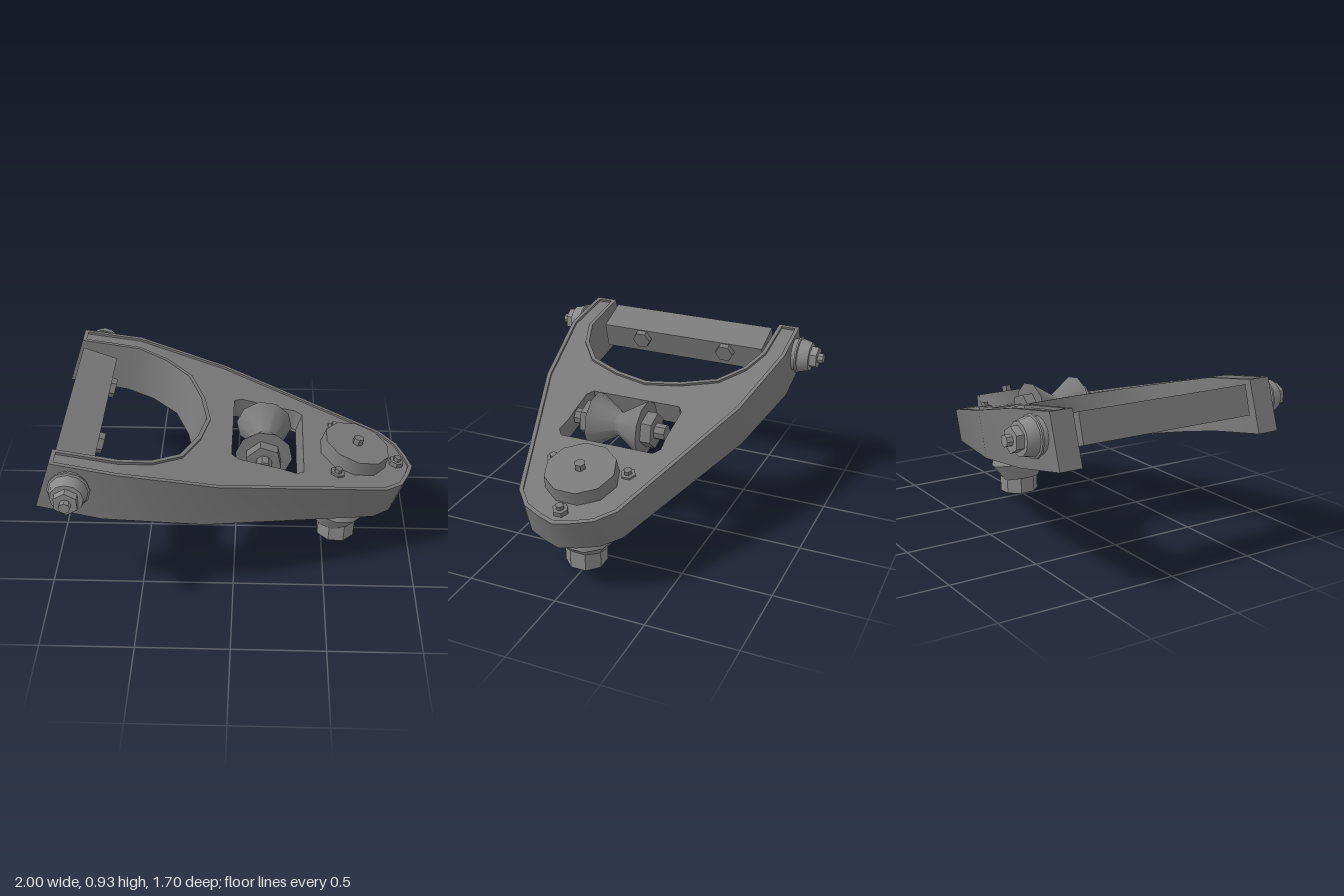
import * as THREE from 'three';
import { toCreasedNormals } from 'three/addons/utils/BufferGeometryUtils.js';

const paint = color => new THREE.MeshStandardMaterial({ color, side: THREE.DoubleSide });
const DARK = paint(0x7a7a7a);
const STEEL = paint(0x8a8a8a);
const V = (x, y) => new THREE.Vector2(x, y);

function add(parent, name, geo, mat, pos = [0, 0, 0], rot = [0, 0, 0]) {
  const m = new THREE.Mesh(toCreasedNormals(geo, 0.74), mat);
  m.name = name;
  m.position.set(...pos);
  m.rotation.set(...rot);
  parent.add(m);
}
function group(parent, name, pos, rot) {
  const g = new THREE.Group();
  g.name = name;
  g.position.set(...pos);
  g.rotation.set(...rot);
  parent.add(g);
  return g;
}
const cyl = (rTop, rBottom, h, sides) => new THREE.CylinderGeometry(rTop, rBottom, h, sides);
const lathe = (pts, sides) => new THREE.LatheGeometry(pts.map(p => V(...p)), sides);

// Height of the arm's upper edge along its length, with a bend near the forks
const BEND = -0.58;
const topY = x => 0.88 - (x - BEND) * (x < BEND ? 0.167 : 0.266);

// Sloping arm space: plan x, with t from 0 (lower edge) to 1 (upper edge)
function armPoint(x, t) {
  const xb = x - 0.09 + 0.03 * (x + 0.91) / 1.91;
  const yb = 0.665 - 0.196 * (xb + 1);
  return [xb + (x - xb) * t, yb + (topY(x) - yb) * t];
}

// Extrude a plan outline between two levels of the sloping arm
function armExtrude(outline, hole, t0, t1) {
  const shape = new THREE.Shape(outline);
  if (hole) shape.holes.push(new THREE.Path(hole));
  const g = new THREE.ExtrudeGeometry(shape, { depth: t1 - t0, bevelEnabled: false });
  const p = g.attributes.position;
  for (let i = 0; i < p.count; i++) {
    const [x, y] = armPoint(p.getX(i), t0 + p.getZ(i));
    p.setXYZ(i, x, y, -p.getY(i));
  }
  return g;
}

// Mitred inset of a counter-clockwise outline
function inset(pts, d) {
  return pts.map((p, i) => {
    const a = p.clone().sub(pts[(i + pts.length - 1) % pts.length]).normalize();
    const b = pts[(i + 1) % pts.length].clone().sub(p).normalize();
    const n = V(-a.y - b.y, a.x + b.x);
    return p.clone().addScaledVector(n, d / (1 + a.dot(b)));
  });
}

export function createModel() {
  const model = new THREE.Group();
  model.name = 'suspensionArm';

  // Forked arm: hollow pressing with a flange all round
  const mirror = half => [...half.map(([x, z]) => V(x, -z)), ...half.slice(0, -1).reverse().map(([x, z]) => V(x, z))];
  const outer = mirror([[-0.91, 0.665], [BEND, 0.68], [-0.07, 0.59], [0.83, 0.28], [0.925, 0.195], [0.972, 0.09], [1, 0]]);
  const inner = mirror([[-0.91, 0.54], [BEND, 0.545], [-0.42, 0.49], [-0.28, 0.38], [-0.2, 0.19], [-0.16, 0]]).reverse();
  const outline = [...outer, ...inner];
  const win = [[0.03, -0.29], [0.25, -0.29], [0.34, -0.3], [0.38, -0.27], [0.38, 0.27], [0.34, 0.3],
    [0.25, 0.29], [0.03, 0.29], [-0.01, 0.26], [-0.01, -0.26]].map(p => V(...p));
  const arm = group(model, 'arm', [0, 0, 0], [0, 0, 0]);
  add(arm, 'flange', armExtrude(outline, inset(outline, 0.022), 0, 1), DARK);
  add(arm, 'windowFlange', armExtrude(inset(win, -0.02), win, 0.45, 0.93), DARK);

  // Top plate, divided at the bend into the body and two fork ends
  const plate = inset(outline, 0.01);
  const n = outer.length, m = plate.length;
  add(arm, 'topPlate', armExtrude([...plate.slice(1, n - 1), ...plate.slice(n + 1, m - 1)], win, 0.86, 0.95), DARK);
  for (const ids of [[0, 1, m - 2, m - 1], [n - 2, n - 1, n, n + 1]]) {
    add(arm, 'forkPlate', armExtrude(ids.map(i => plate[i]), null, 0.86, 0.95), DARK);
  }

  // Cross shaft bar with bolt heads on its inner face
  const bar = new THREE.Shape([V(-0.945, 0.755), V(-0.755, 0.69), V(-0.71, 0.84), V(-0.9, 0.91)]);
  add(model, 'crossBar', new THREE.ExtrudeGeometry(bar, { depth: 1.02, bevelEnabled: false }), DARK, [0, 0, -0.5]);
  for (const s of [-1, 1]) {
    add(model, 'barBolt', cyl(0.055, 0.06, 0.05, 6), DARK, [-0.72, 0.785, s * 0.27], [0, 0, -Math.PI / 2 - 0.29]);
  }
  add(model, 'crossShaft', cyl(0.045, 0.045, 1.3, 10), DARK, [-0.815, 0.8, 0], [Math.PI / 2, 0, 0]);

  // Pivot bushings, nuts and shaft ends
  for (const s of [-1, 1]) {
    const pivot = group(model, 'pivot', [-0.815, 0.8, 0], [s * Math.PI / 2, 0, 0]);
    add(pivot, 'bushing', lathe([[0, 0.64], [0.095, 0.64], [0.095, 0.695], [0.11, 0.698], [0.11, 0.708],
      [0.1, 0.712], [0.085, 0.775], [0, 0.78]], 12), STEEL);
    add(pivot, 'nut', cyl(0.066, 0.066, 0.045, 6), STEEL, [0, 0.795, 0]);
    add(pivot, 'shaftEnd', cyl(0.03, 0.03, 0.05, 8), STEEL, [0, 0.825, 0]);
  }

  // Hourglass bushing in the window
  const roller = group(model, 'hourglassBushing', [0.158, 0.633, 0.01], [Math.PI / 2, 0.19, 0]);
  add(roller, 'hourglass', lathe([[0, -0.15], [0.157, -0.15], [0.07, -0.01], [0.07, 0.01], [0.157, 0.15], [0, 0.15]], 10), DARK);
  for (const s of [-1, 1]) {
    add(roller, 'bushingNut', cyl(0.1, 0.1, 0.06, 6), DARK, [0, s * 0.18, 0]);
    add(roller, 'bushingStud', cyl(0.045, 0.045, 0.07, 8), DARK, [0, s * 0.235, 0]);
  }

  // Ball joint: cap, housing, boot and stud
  const joint = group(model, 'ballJoint', [0.68, 0.617, 0], [-0.04, 0, -0.23]);
  add(joint, 'cap', lathe([[0.2, -0.14], [0.19, 0], [0, 0]], 10), DARK, [0, 0, 0], [0.04, 0, -0.05]);
  add(joint, 'greaseNipple', cyl(0.03, 0.03, 0.06, 6), DARK, [0, 0.005, 0]);
  add(joint, 'housing', lathe([[0, -0.385], [0.145, -0.385], [0.22, -0.25], [0.2, -0.1]], 10), DARK);
  add(joint, 'boot', lathe([[0, -0.54], [0.108, -0.54], [0.168, -0.445], [0.15, -0.37], [0, -0.37]], 10), STEEL);
  add(model, 'stud', cyl(0.114, 0.114, 0.14, 8), STEEL, [0.587, 0.077, 0.022], [0, Math.PI / 8, -0.05]);

  // Bolts holding the ball joint to the plate
  for (const [x, z, sink] of [[0.555, -0.215, 0.035], [0.555, 0.215, 0.035], [0.9, 0, 0.018]]) {
    const bolt = group(model, 'jointBolt', [x, topY(x) - sink, z], [0, 0, -0.26]);
    add(bolt, 'boltNut', cyl(0.042, 0.042, 0.045, 6), DARK, [0, 0.012, 0]);
    add(bolt, 'boltEnd', cyl(0.022, 0.022, 0.04, 6), DARK, [0, 0.037, 0]);
  }
  return model;
}
